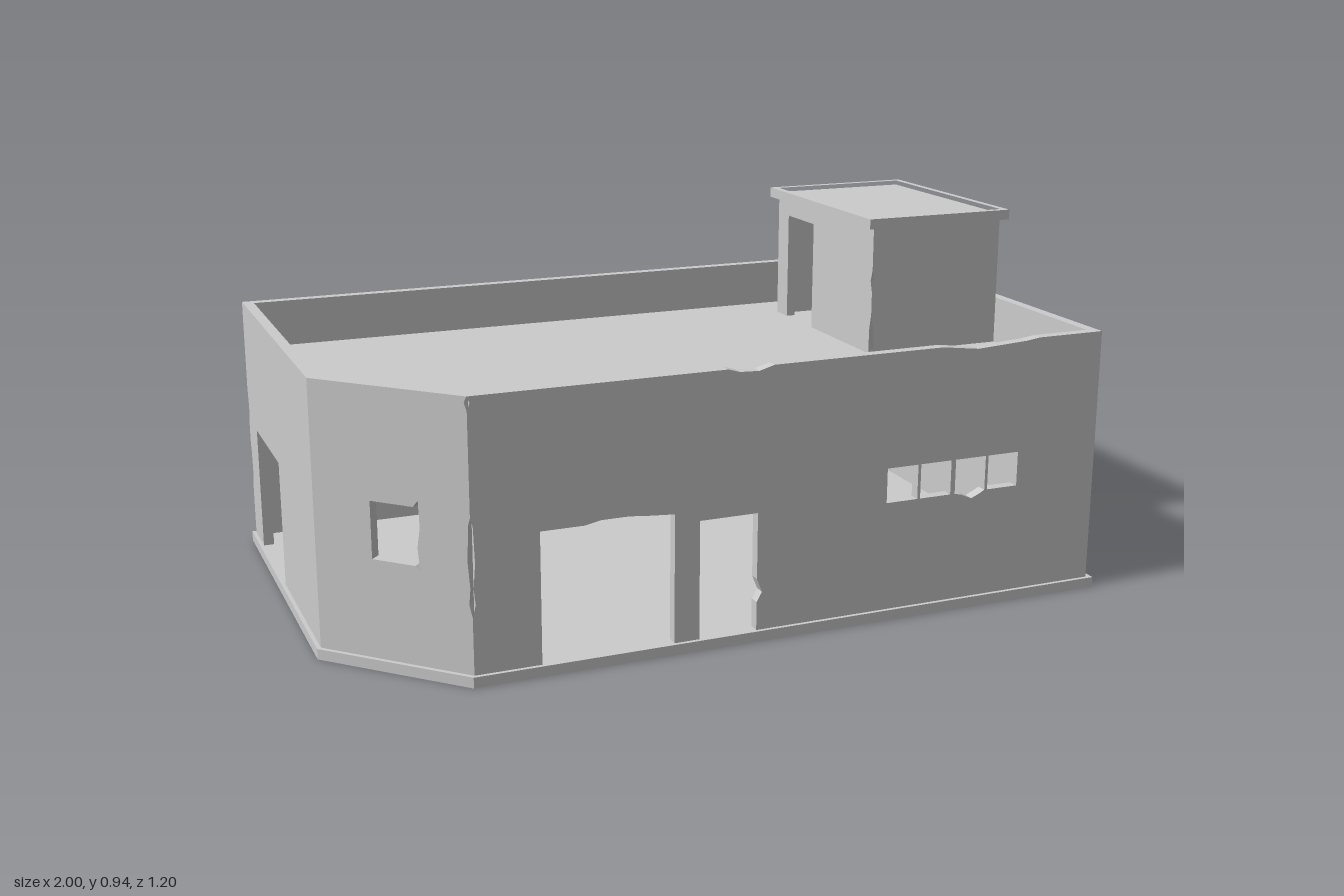
import * as THREE from 'three';

const material = new THREE.MeshStandardMaterial({ color: 0xcccccc, flatShading: true });
const toShape = (pts) => new THREE.Shape(pts.map(([x, y]) => new THREE.Vector2(x, y)));
const rect = (x0, x1, y0, y1) => [[x0, y0], [x1, y0], [x1, y1], [x0, y1]];

// Horizontal slab from a plan outline of [x, z] points, with an optional opening
function slab(name, plan, y0, y1, opening) {
  const flip = (pts) => pts.map(([x, z]) => [x, -z]);
  const shape = toShape(flip(plan));
  if (opening) shape.holes.push(toShape(flip(opening)));
  const geo = new THREE.ExtrudeGeometry(shape, { depth: y1 - y0, bevelEnabled: false });
  geo.rotateX(-Math.PI / 2).translate(0, y0, 0);
  const mesh = new THREE.Mesh(geo, material);
  mesh.name = name;
  return mesh;
}

// Ring of mitred wall panels along a plan. specs[i] describes the panel from corner i
// to i+1 (name, holes, chipped top); nicks[i] lists [height, depth] chips at corner i.
function walls(name, plan, y0, y1, t, specs, nicks) {
  const group = new THREE.Group();
  group.name = name;
  const n = plan.length;
  const corners = plan.map(([x, z]) => new THREE.Vector2(x, z));
  const dir = corners.map((c, i) => corners[(i + 1) % n].clone().sub(c).normalize());
  // mitre inset at each corner
  const inset = corners.map((c, i) =>
    t * Math.tan(Math.acos(dir[i].dot(dir[(i + n - 1) % n])) / 2));

  corners.forEach((a, i) => {
    const j = (i + 1) % n;
    const L = a.distanceTo(corners[j]);
    const spec = specs[i];
    const endNicks = (nicks[j] || []).map(([y, d]) => [L - d, y]);
    const startNicks = (nicks[i] || []).map(([y, d]) => [d, y]).reverse();
    const top = (spec.top || []).slice().reverse();
    const shape = toShape([[0, y0], [L, y0], ...endNicks, [L, y1], ...top, [0, y1], ...startNicks]);
    (spec.holes || []).forEach((h) => shape.holes.push(toShape(h)));
    const geo = new THREE.ExtrudeGeometry(shape, { depth: t, bevelEnabled: false });
    geo.translate(0, 0, -t);
    const p = geo.attributes.position;
    for (let k = 0; k < p.count; k++) {
      if (p.getZ(k) < -t / 2) p.setX(k, THREE.MathUtils.clamp(p.getX(k), inset[i], L - inset[j]));
    }
    geo.computeVertexNormals();
    const mesh = new THREE.Mesh(geo, material);
    mesh.name = spec.name;
    mesh.position.set(a.x, 0, a.y);
    mesh.rotation.y = Math.atan2(-dir[i].y, dir[i].x);
    group.add(mesh);
  });
  return group;
}

export function createModel() {
  const model = new THREE.Group();
  model.name = 'building';

  // Foundation and floor
  model.add(slab('foundation', [[-1, 0.3], [-0.7, 0.6], [1, 0.6], [1, -0.6], [-1, -0.6]], 0, 0.027));

  // Main walls, front panel measured from its left end
  const X = (x) => x + 0.695;
  const windows = [0.375, 0.47, 0.57, 0.665].map((x, i) => {
    const w = rect(X(x), X(x + 0.087), 0.31, 0.4);
    if (i === 2) w.splice(1, 0, [X(x + 0.02), 0.305], [X(x + 0.05), 0.292], [X(x + 0.075), 0.303]);
    return w;
  });
  const garageDoor = [[X(-0.53), 0.027], [X(-0.195), 0.027], [X(-0.195), 0.355],
    [X(-0.26), 0.36], [X(-0.31), 0.365], [X(-0.38), 0.365], [X(-0.42), 0.357], [X(-0.53), 0.357]];
  const frontDoor = [[X(-0.13), 0.027], [X(0.022), 0.027], [X(0.022), 0.1], [X(0.036), 0.125],
    [X(0.022), 0.16], [X(0.022), 0.33], [X(-0.13), 0.33]];
  const cornerWindow = [[0.155, 0.275], [0.27, 0.275], [0.283, 0.265], [0.278, 0.32],
    [0.286, 0.37], [0.283, 0.435], [0.27, 0.418], [0.155, 0.418]];

  model.add(walls('mainWalls',
    [[-0.99, 0.295], [-0.695, 0.59], [0.985, 0.59], [0.985, -0.59], [-0.99, -0.59]],
    0.005, 0.695, 0.028,
    [
      { name: 'cornerWall', holes: [cornerWindow] },
      {
        name: 'frontWall',
        holes: [garageDoor, frontDoor, ...windows],
        top: [[X(-0.06), 0.695], [X(-0.03), 0.686], [X(0.02), 0.684], [X(0.06), 0.695],
          [X(0.52), 0.695], [X(0.62), 0.682], [X(0.76), 0.69], [X(0.8), 0.695]],
      },
      { name: 'leftWall' },
      { name: 'backWall' },
      { name: 'rightWall', holes: [rect(0.12, 0.44, 0.027, 0.36)] },
    ],
    {
      1: [[0.17, 0], [0.2, 0.008], [0.24, 0.004], [0.3, 0.009], [0.39, 0.006], [0.41, 0],
        [0.66, 0], [0.68, 0.007]],
      4: [[0.18, 0], [0.21, 0.012], [0.27, 0.008], [0.29, 0], [0.36, 0], [0.39, 0.01], [0.43, 0.004], [0.45, 0]],
    }));

  // Roof deck behind the parapet
  model.add(slab('roofDeck',
    [[-0.97, 0.287], [-0.687, 0.57], [0.965, 0.57], [0.965, -0.57], [-0.97, -0.57]], 0.545, 0.57));

  // Stair house on the roof, with a doorway towards the deck
  model.add(walls('stairHouse',
    [[0.565, 0.14], [0.955, 0.14], [0.955, -0.435], [0.565, -0.435]], 0.55, 0.92, 0.025,
    [
      { name: 'stairHouseFront' },
      { name: 'stairHouseLeft' },
      { name: 'stairHouseBack' },
      { name: 'stairHouseDoorWall', holes: [rect(0.065, 0.225, 0.57, 0.87)] },
    ],
    { 0: [[0.58, 0.01], [0.64, 0.008], [0.68, 0], [0.74, 0], [0.77, 0.009], [0.8, 0]] }));

  // Stair house roof: overhanging rim around a shallow tray
  const tray = rect(0.565, 0.957, -0.437, 0.137);
  model.add(slab('stairHouseRim', rect(0.545, 0.975, -0.455, 0.155), 0.915, 0.942, tray));
  model.add(slab('stairHouseRoof', tray, 0.915, 0.93));

  return model;
}
